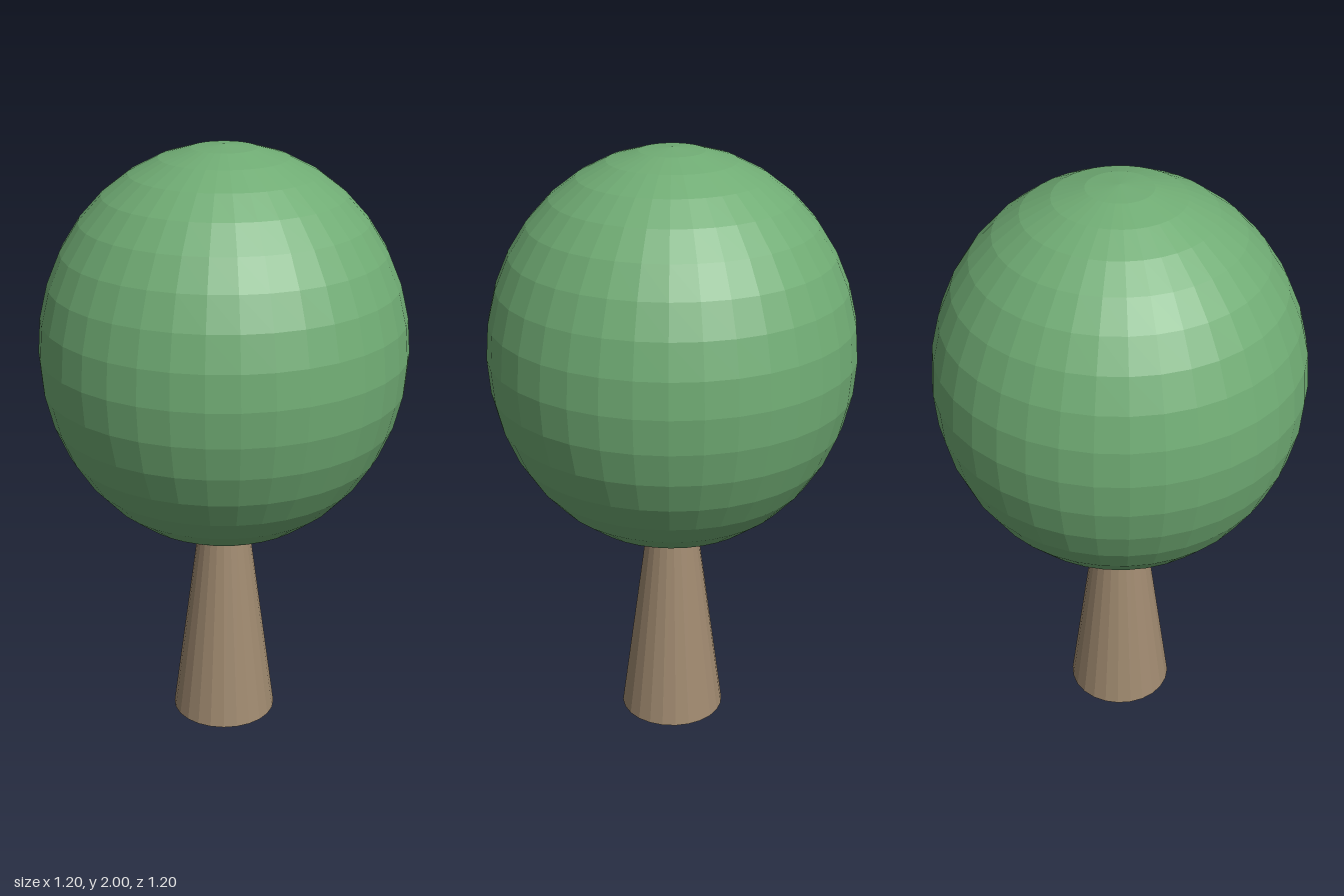
import * as THREE from 'three';

function part(name, geometry, color, y) {
  const material = new THREE.MeshStandardMaterial({ color, flatShading: true });
  const mesh = new THREE.Mesh(geometry, material);
  mesh.name = name;
  mesh.position.y = y;
  return mesh;
}

export function createModel() {
  const tree = new THREE.Group();
  tree.name = 'tree';

  // Tapered trunk, its top just sunk into the crown
  const trunkHeight = 0.69;
  const trunk = new THREE.CylinderGeometry(0.087, 0.178, trunkHeight, 24);
  tree.add(part('trunk', trunk, 0xa08a70, trunkHeight / 2));

  // Faceted egg-shaped crown, slightly taller than wide
  const crown = new THREE.SphereGeometry(0.6, 36, 18);
  crown.scale(1, 1.1, 1);
  tree.add(part('crown', crown, 0x70ac74, 1.34));

  return tree;
}
